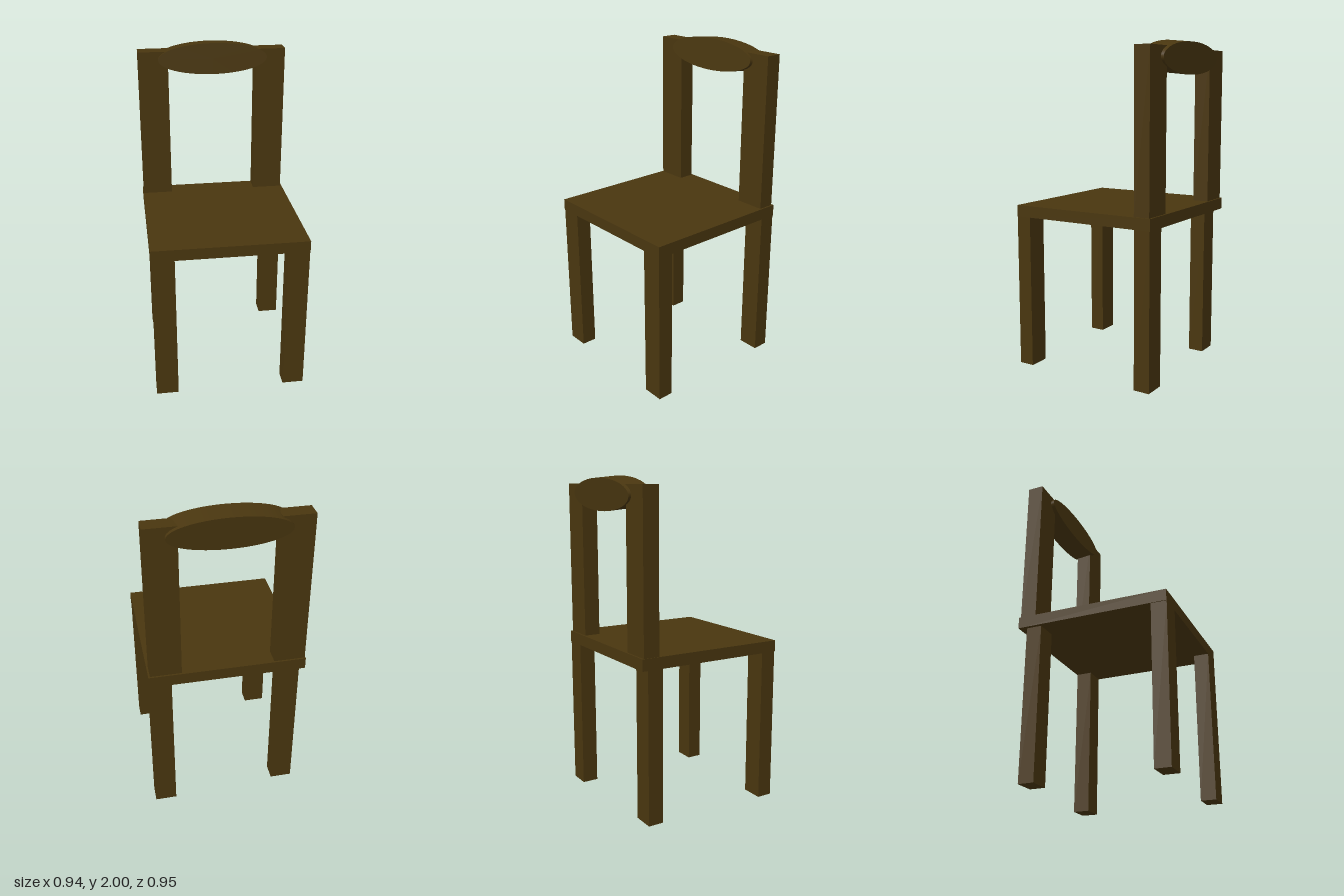
import * as THREE from 'three';

const wood = new THREE.MeshStandardMaterial({ color: 0x49360f });
wood.name = 'darkWood';

// Box given by its [min, max] extents on each axis
function block(name, [x0, x1], [y0, y1], [z0, z1]) {
  const mesh = new THREE.Mesh(new THREE.BoxGeometry(x1 - x0, y1 - y0, z1 - z0), wood);
  mesh.position.set((x0 + x1) / 2, (y0 + y1) / 2, (z0 + z1) / 2);
  mesh.name = name;
  return mesh;
}

export function createModel() {
  const chair = new THREE.Group();
  chair.name = 'chair';

  // Seat board
  chair.add(block('seat', [-0.47, 0.468], [0.94, 1.01], [-0.463, 0.475]));

  // Four legs; the right back one stands slightly inset
  const legs = [
    ['frontLegLeft', [0.335, 0.466], [0.38, 0.475]],
    ['frontLegRight', [-0.465, -0.33], [0.38, 0.475]],
    ['backLegLeft', [0.335, 0.466], [-0.46, -0.36]],
    ['backLegRight', [-0.449, -0.315], [-0.416, -0.32]],
  ];
  for (const [name, x, z] of legs) chair.add(block(name, x, [0, 0.94], z));

  // Backrest posts
  chair.add(block('backPostLeft', [0.272, 0.458], [1.01, 1.95], [-0.452, -0.353]));
  chair.add(block('backPostRight', [-0.466, -0.28], [1.01, 1.95], [-0.452, -0.353]));

  // Oval headrest: a squashed disc facing forward, tipped slightly up
  const disc = new THREE.CylinderGeometry(1, 1, 1, 48).rotateX(Math.PI / 2);
  disc.scale(0.341, 0.095, 0.138);
  const headrest = new THREE.Mesh(disc, wood);
  headrest.position.set(-0.001, 1.896, -0.401);
  headrest.rotation.x = -0.095;
  headrest.name = 'headrest';
  chair.add(headrest);

  return chair;
}
